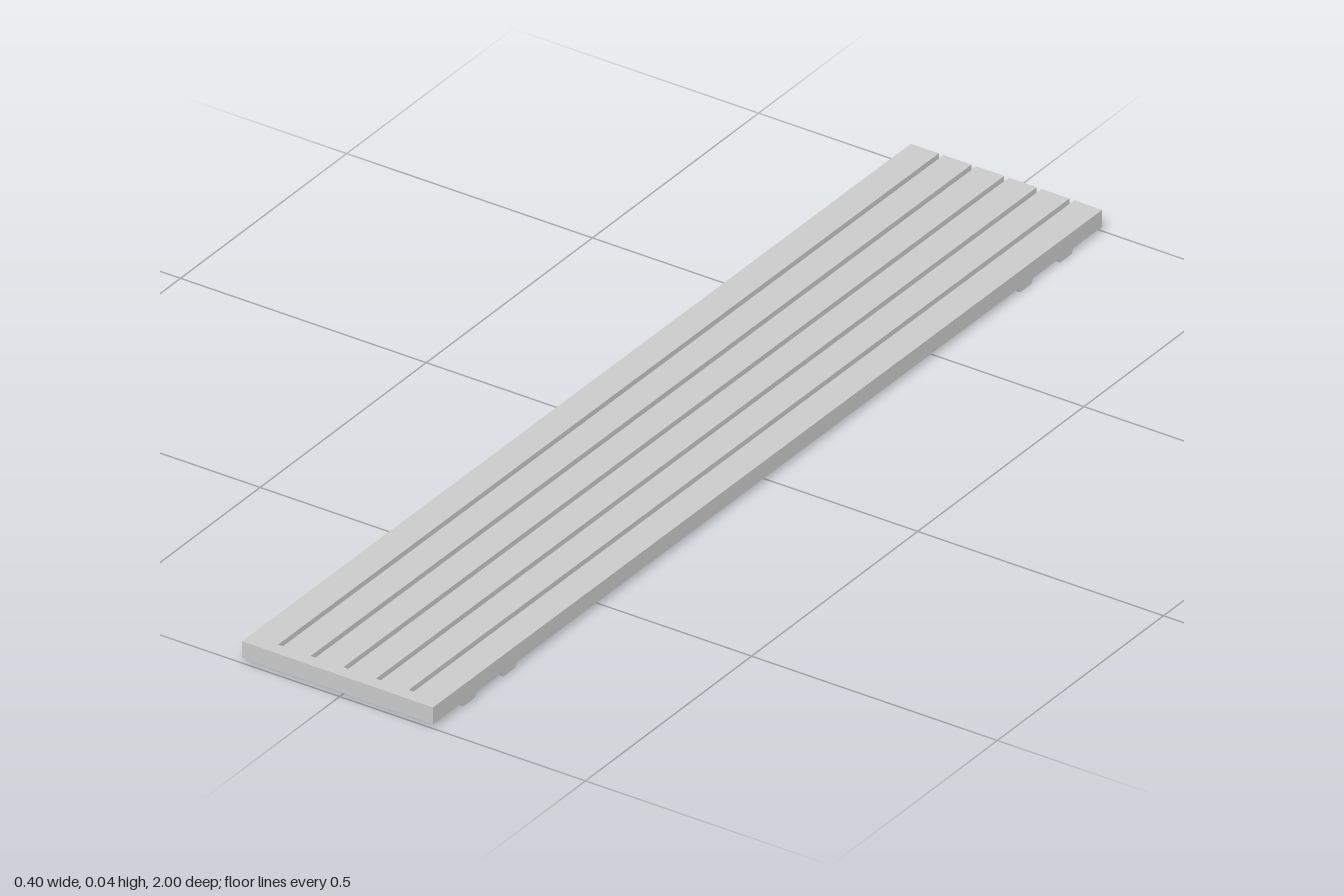
import * as THREE from 'three';

export function createModel() {
  const group = new THREE.Group();
  const deck = new THREE.Group();
  deck.name = 'deck';
  const material = new THREE.MeshStandardMaterial({ color: 0xcccccc, flatShading: true });

  const width = 0.39, gap = 0.01, count = 6;
  const bottom = 0.009, top = 0.042, capDepth = 0.025;
  const height = top - bottom, midY = (top + bottom) / 2;
  const plankWidth = (width - gap * (count - 1)) / count;

  function add(geometry, name, x, y, z) {
    const mesh = new THREE.Mesh(geometry, material);
    mesh.name = name;
    mesh.position.set(x, y, z);
    deck.add(mesh);
    return mesh;
  }

  // Long planks, open at the back
  const plank = new THREE.BoxGeometry(plankWidth, height, 2 - capDepth);
  for (let i = 0; i < count; i++) {
    const x = -width / 2 + plankWidth / 2 + i * (plankWidth + gap);
    add(plank, 'plank', x, midY, -capDepth / 2);
  }

  // Board closing the front end
  add(new THREE.BoxGeometry(width, height, capDepth), 'endBoard', 0, midY, 1 - capDepth / 2);

  // Tapered cross battens underneath
  const profile = new THREE.Shape([
    new THREE.Vector2(-0.017, 0),
    new THREE.Vector2(0.017, 0),
    new THREE.Vector2(0.022, bottom),
    new THREE.Vector2(-0.022, bottom),
  ]);
  const batten = new THREE.ExtrudeGeometry(profile, { depth: width, bevelEnabled: false });
  batten.translate(0, 0, -width / 2);
  batten.rotateY(Math.PI / 2);
  for (const side of [-1, 1]) {
    for (const z of [0.772, 0.892]) add(batten, 'batten', 0, 0, side * z);
  }

  // The whole deck lies very slightly askew
  deck.rotation.y = -0.0045;
  group.add(deck);
  return group;
}
